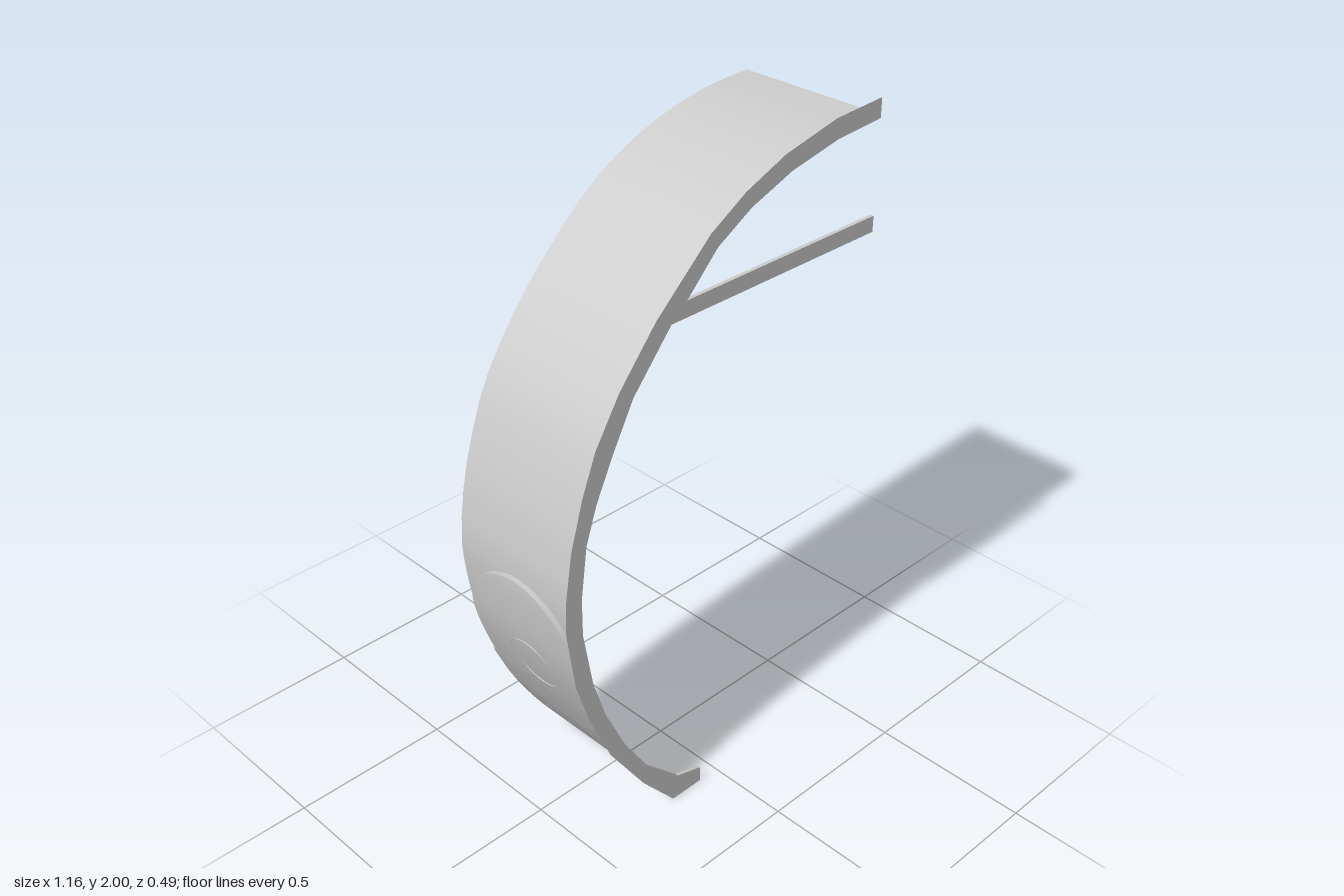
import * as THREE from 'three';
import { ParametricGeometry } from 'three/addons/geometries/ParametricGeometry.js';

const FRONT = 0.243, WALL = 0.231, BACK = -0.243;
const SHELL = 0.048, NICHE = 0.032; // depths measured inward from the outer arc
const NICHE_Y = 0.45, SPRING = 0.65, CROWN = 0.87, NICHE_W = 0.222;

const outer = [[-0.185, 0], [-0.307, 0.143], [-0.434, 0.333], [-0.508, 0.5], [-0.555, 0.65], [-0.582, 0.84],
  [-0.579, 0.94], [-0.555, 1.09], [-0.513, 1.233], [-0.465, 1.354], [-0.38, 1.49], [-0.254, 1.64],
  [-0.063, 1.815], [0.06, 1.888], [0.206, 1.947], [0.4, 1.99], [0.58, 2]];
const upperInner = [[0.58, 1.942], [0.41, 1.93], [0.233, 1.894], [0.085, 1.84], [-0.037, 1.77], [-0.145, 1.66], [0.58, 1.66]];
const lowerInner = [[0.58, 1.612], [-0.2, 1.612], [-0.333, 1.455], [-0.407, 1.317], [-0.465, 1.196], [-0.503, 1.085],
  [-0.524, 0.926], [-0.524, 0.81], [-0.492, 0.624], [-0.45, 0.492], [-0.376, 0.333], [-0.29, 0.2],
  [-0.165, 0.08], [-0.072, 0.053], [-0.07, 0]];

const mat = new THREE.MeshStandardMaterial({ color: 0xcccccc, side: THREE.DoubleSide });
const lerp = THREE.MathUtils.lerp;

// Guide arc, run on a little past both ends
const arc = new THREE.CatmullRomCurve3(
  [[-0.1, -0.09], ...outer, [0.7, 2]].map(([x, y]) => new THREE.Vector3(x, y, 0)));

function onArc(t, depth) {
  const p = arc.getPointAt(t), d = arc.getTangentAt(t);
  return new THREE.Vector3(p.x + d.y * depth, p.y - d.x * depth, 0);
}

// Arc parameter where the offset arc reaches a height
function solveY(y, depth) {
  let a = 0, b = 0.9;
  for (let i = 0; i < 22; i++) {
    const m = (a + b) / 2;
    if (onArc(m, depth).y < y) a = m; else b = m;
  }
  return a;
}

const atHeight = (y, z, depth) => onArc(solveY(y, depth), depth).setZ(z);
const lowerDepth = y => lerp(0.008, 0.035, Math.min(1, y / 0.385));
const nicheHalf = y => y <= SPRING ? NICHE_W
  : NICHE_W * Math.sqrt(Math.max(0, 1 - ((y - SPRING) / (CROWN - SPRING)) ** 2));

// Rows climb the straight sides first, then the arch in equal angles
const nicheRow = v => v < 0.4 ? lerp(NICHE_Y, SPRING, v / 0.4)
  : SPRING + (CROWN - SPRING) * Math.sin((v - 0.4) / 0.6 * Math.PI / 2);

export function createModel() {
  const model = new THREE.Group();
  const add = (name, geometry) => {
    const mesh = new THREE.Mesh(geometry, mat);
    mesh.name = name;
    model.add(mesh);
    return mesh;
  };
  const sheet = (name, fn, nu, nv) =>
    add(name, new ParametricGeometry((u, v, target) => target.copy(fn(u, v)), nu, nv));

  // Front rib with its horizontal beam
  const profile = [...outer, ...upperInner, ...lowerInner].map(p => new THREE.Vector2(...p));
  add('frontRib', new THREE.ShapeGeometry(new THREE.Shape(profile)).translate(0, 0, FRONT));

  // Returns along the inner edges of the rib
  const edgeReturn = (name, path) => {
    for (let i = 0; i < path.length - 1; i++) {
      const [a, b] = [path[i], path[i + 1]];
      sheet(name, (u, v) => new THREE.Vector3(lerp(a[0], b[0], u), lerp(a[1], b[1], u), lerp(WALL, FRONT, v)), 1, 1);
    }
  };
  edgeReturn('upperRibReturn', upperInner);
  edgeReturn('lowerRibReturn', lowerInner);

  // Vaulted shell above the niche
  const start = solveY(CROWN, SHELL);
  let end = 0.9, high = 1;
  for (let i = 0; i < 22; i++) {
    const m = (end + high) / 2;
    if (onArc(m, SHELL).x < 0.58) end = m; else high = m;
  }
  sheet('vaultShell', (u, v) => onArc(lerp(start, end, v), SHELL).setZ(lerp(WALL, BACK, u)), 1, 20);

  // Shell on both sides of the niche, and the niche's edge
  for (const [side, edge] of [[1, WALL], [-1, BACK]]) {
    sheet('nicheSurround', (u, v) => {
      const y = nicheRow(v), h = side * nicheHalf(y);
      return atHeight(y, side > 0 ? lerp(edge, h, u) : lerp(h, edge, u), SHELL);
    }, 1, 15);
    sheet('nicheEdge', (u, v) => {
      const y = nicheRow(v);
      return atHeight(y, side * nicheHalf(y), lerp(NICHE, SHELL, u));
    }, 1, 15);
  }

  // Recessed niche panel
  sheet('nichePanel', (u, v) => {
    const y = nicheRow(v);
    return atHeight(y, nicheHalf(y) * (1 - 2 * u), NICHE);
  }, 2, 15);

  // Shallow round boss in the niche
  const boss = add('nicheBoss', new THREE.SphereGeometry(0.09, 32, 10, 0, Math.PI * 2, 0, Math.PI / 2));
  const t = solveY(0.56, NICHE), d = arc.getTangentAt(t);
  boss.position.copy(onArc(t, NICHE));
  boss.quaternion.setFromUnitVectors(new THREE.Vector3(0, 1, 0), new THREE.Vector3(d.y, -d.x, 0));
  boss.scale.y = 0.26;

  // Lower wall behind the mouldings
  sheet('lowerWall', (u, v) => {
    const y = lerp(0, NICHE_Y, v);
    return atHeight(y, lerp(WALL, BACK, u), lowerDepth(y));
  }, 1, 8);

  // A box bent onto the wall, from (y0, z0) to (y1, z1)
  const moulding = (name, y0, z0, y1, z1, width, top) => {
    const g = new THREE.BoxGeometry(1, 1, 1, 6, 1, 1).toNonIndexed();
    const len = Math.hypot(y1 - y0, z1 - z0), ny = -(z1 - z0) / len, nz = (y1 - y0) / len;
    const pos = g.attributes.position;
    for (let i = 0; i < pos.count; i++) {
      const a = pos.getX(i) + 0.5, w = pos.getY(i) * width;
      const y = Math.max(0, lerp(y0, y1, a) + ny * w), z = lerp(z0, z1, a) + nz * w;
      const base = lowerDepth(y);
      const p = atHeight(y, z, pos.getZ(i) > 0 ? (top ?? base + 0.014) : base);
      pos.setXYZ(i, p.x, p.y, p.z);
    }
    g.computeVertexNormals();
    add(name, g);
  };

  // Stepped ledge under the niche
  moulding('ledgeTop', 0.435, BACK, 0.435, WALL, 0.03, 0.057);
  moulding('ledgeMiddle', 0.412, BACK, 0.412, WALL, 0.016, 0.05);
  moulding('ledgeBottom', 0.394, BACK, 0.394, WALL, 0.02, 0.055);

  // Posts, side rails and the doorway frame with cut corners
  for (const s of [1, -1]) {
    moulding('doorPost', 0, s * 0.092, 0.385, s * 0.092, 0.014);
    moulding('sideRail', 0.218, s * 0.092, 0.218, s > 0 ? WALL : BACK, 0.016);
    moulding('doorCorner', 0.255, s * 0.083, 0.285, s * 0.058, 0.01);
  }
  moulding('doorLintel', 0.287, -0.086, 0.287, 0.086, 0.012);
  moulding('doorSill', 0.104, -0.086, 0.104, 0.086, 0.016);

  return model;
}
